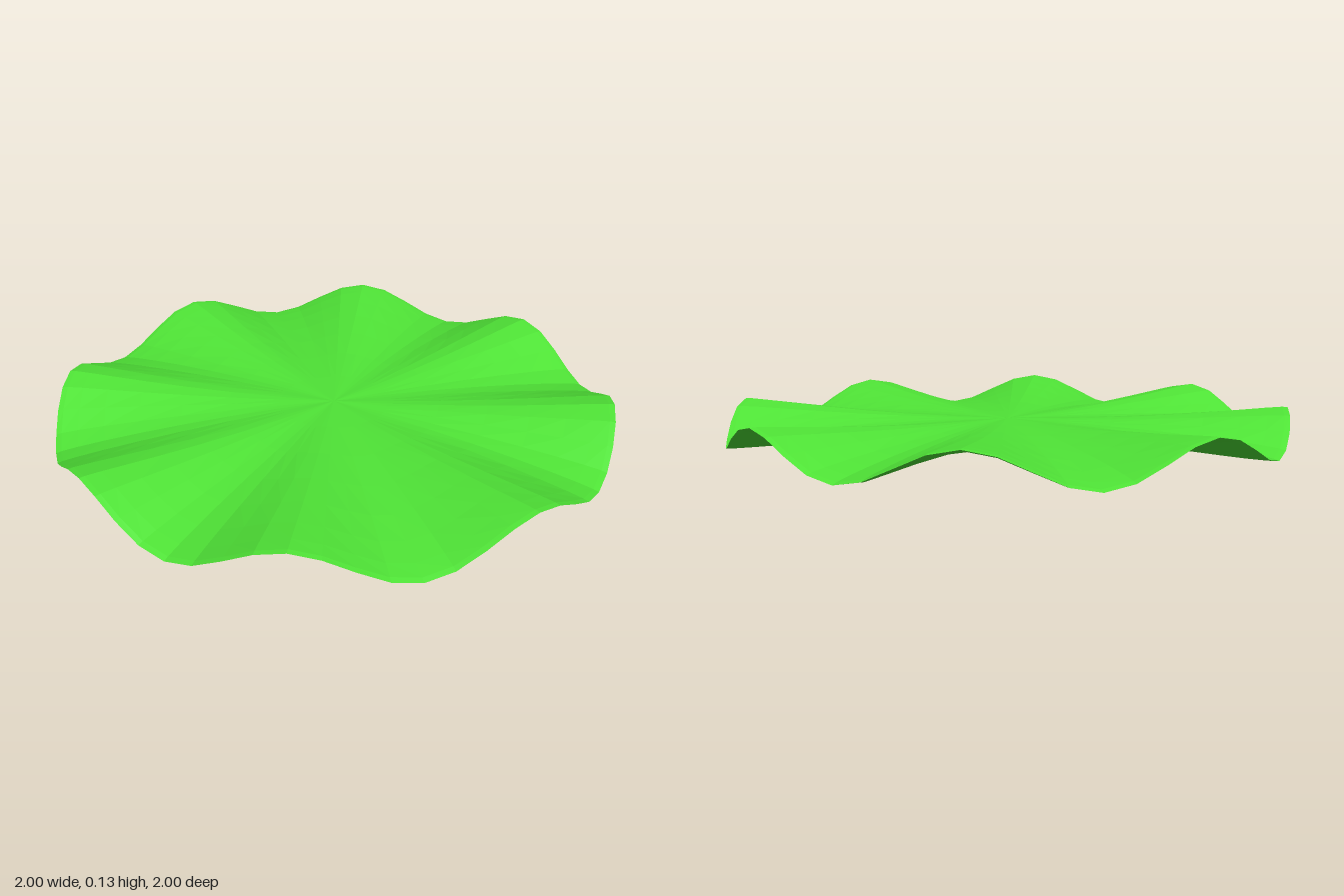
import * as THREE from 'three';

const WAVES = 8;        // ruffles around the rim
const RUFFLE = 0.062;   // wave height at the rim
const THICKNESS = 0.02; // half thickness at the centre
const BASE = 0.049;     // height of the centre
const DISH = 0.015;     // rise from the centre to the rim

export function createModel() {
  const group = new THREE.Group();

  // Leaf: a sphere squashed to a thin lens, then ruffled more and more towards the rim
  const geometry = new THREE.SphereGeometry(1, 64, 16);
  const pos = geometry.attributes.position;
  for (let i = 0; i < pos.count; i++) {
    const x = pos.getX(i), z = pos.getZ(i);
    const r2 = x * x + z * z;
    const wave = Math.cos(WAVES * Math.atan2(z, x));
    pos.setY(i, BASE + THICKNESS * pos.getY(i) + r2 * (DISH + RUFFLE * wave));
  }
  geometry.computeVertexNormals();

  const material = new THREE.MeshStandardMaterial({ color: 0x4fe336, flatShading: true });
  const leaf = new THREE.Mesh(geometry, material);
  leaf.name = 'ruffledLeaf';
  group.add(leaf);
  return group;
}
